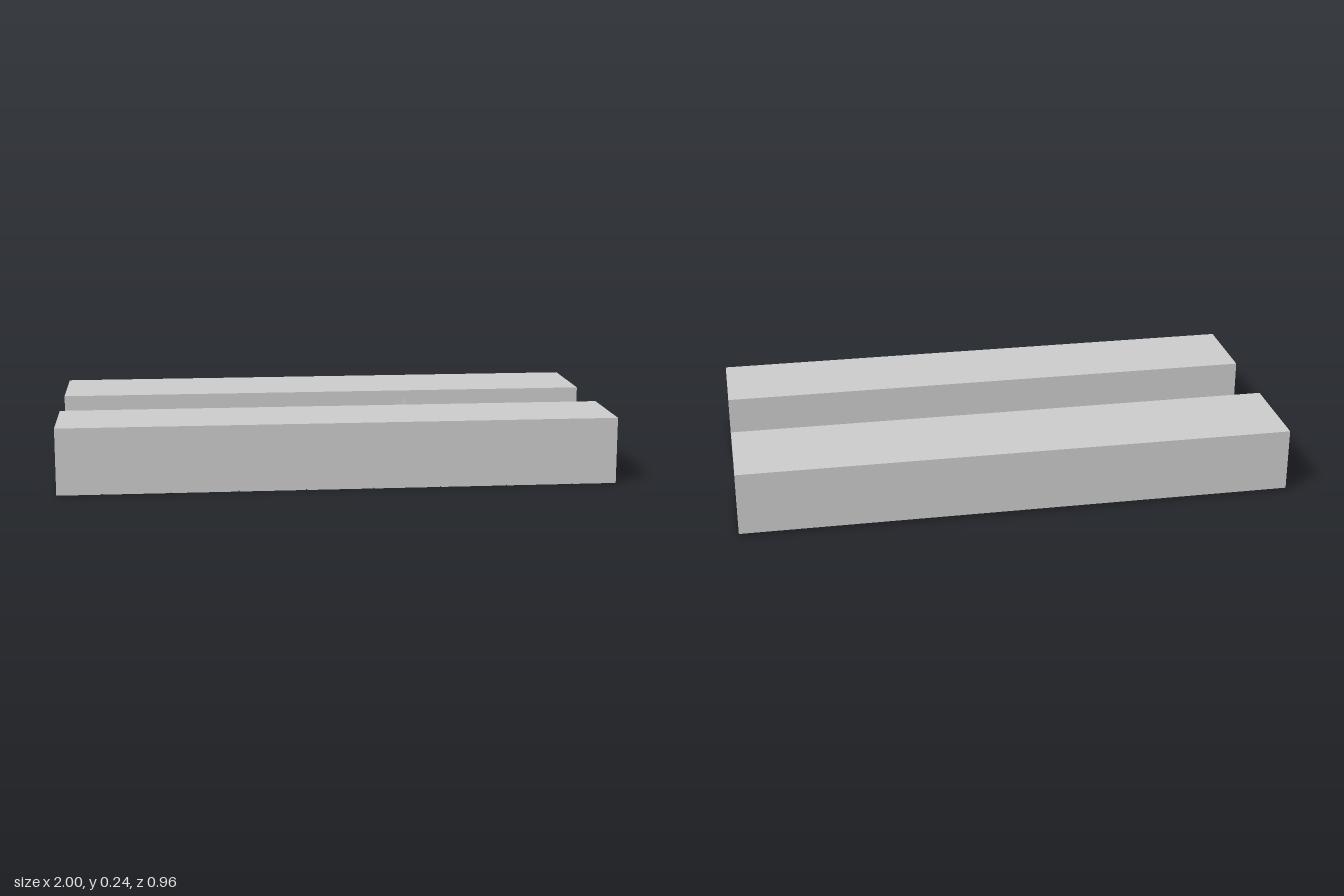
import * as THREE from 'three';

const grey = new THREE.MeshStandardMaterial({ color: 0xcccccc, flatShading: true });

export function createModel() {
  const root = new THREE.Group();

  // Box given by its minimum and maximum on each axis
  function box(parent, name, x0, x1, y0, y1, z0, z1) {
    const mesh = new THREE.Mesh(new THREE.BoxGeometry(x1 - x0, y1 - y0, z1 - z0), grey);
    mesh.position.set((x0 + x1) / 2, (y0 + y1) / 2, (z0 + z1) / 2);
    mesh.name = name;
    parent.add(mesh);
  }

  // Full-length wall layer with notches [x0, x1, top] rising from its lower edge
  function notchedLayer(parent, name, y0, y1, z0, z1, notches) {
    const shape = new THREE.Shape();
    shape.moveTo(-1, y0);
    for (const [a, b, top] of notches) {
      shape.lineTo(a, y0);
      shape.lineTo(a, top);
      shape.lineTo(b, top);
      shape.lineTo(b, y0);
    }
    shape.lineTo(1, y0);
    shape.lineTo(1, y1);
    shape.lineTo(-1, y1);
    shape.closePath();
    const geometry = new THREE.ExtrudeGeometry(shape, { depth: z1 - z0, bevelEnabled: false });
    const mesh = new THREE.Mesh(geometry, grey);
    mesh.position.z = z0;
    mesh.name = name;
    parent.add(mesh);
  }

  // Floor tile borders along x, shared by both blocks
  const borders = [-1];
  for (let i = 0; i < 8; i++) borders.push(-0.84 + i * 0.24);
  borders.push(1);
  const gap = 0.002;

  // Front block: plain body on a row of thin floor tiles
  const front = new THREE.Group();
  front.name = 'frontBlock';
  root.add(front);
  box(front, 'frontBody', -1, 1, 0.003, 0.24, 0.16, 0.48);
  for (let i = 0; i < borders.length - 1; i++) {
    box(front, 'frontFloorTile', borders[i] + (i ? gap : 0),
      borders[i + 1] - (i < 8 ? gap : 0), 0, 0.003, 0.16, 0.48);
  }

  // Back block: doorway alcove on the inner side, floor slots along the rear
  const back = new THREE.Group();
  back.name = 'backBlock';
  root.add(back);
  notchedLayer(back, 'doorwayWall', 0.01, 0.24, -0.23, -0.13, [[0.13, 0.32, 0.206]]);
  box(back, 'backCore', -1, 1, 0.01, 0.24, -0.44, -0.23);
  notchedLayer(back, 'rearLayer', 0.01, 0.24, -0.478, -0.44,
    [[-0.995, -0.72, 0.06], [0.34, 0.54, 0.06]]);
  box(back, 'rearWall', -1, 1, 0.01, 0.24, -0.48, -0.478);

  // Back floor tiles; two of them are split into narrow strips
  for (let i = 0; i < borders.length - 1; i++) {
    const cuts = i === 1 || i === 4 ? [-0.44, -0.32, -0.26, -0.2, -0.133] : [-0.44, -0.133];
    for (let j = 0; j < cuts.length - 1; j++) {
      box(back, 'backFloorTile', borders[i] + (i ? gap : 0),
        borders[i + 1] - (i < 8 ? gap : 0), 0, 0.01,
        cuts[j] + (j ? gap : 0), cuts[j + 1] - (j < cuts.length - 2 ? gap : 0));
    }
  }
  return root;
}
